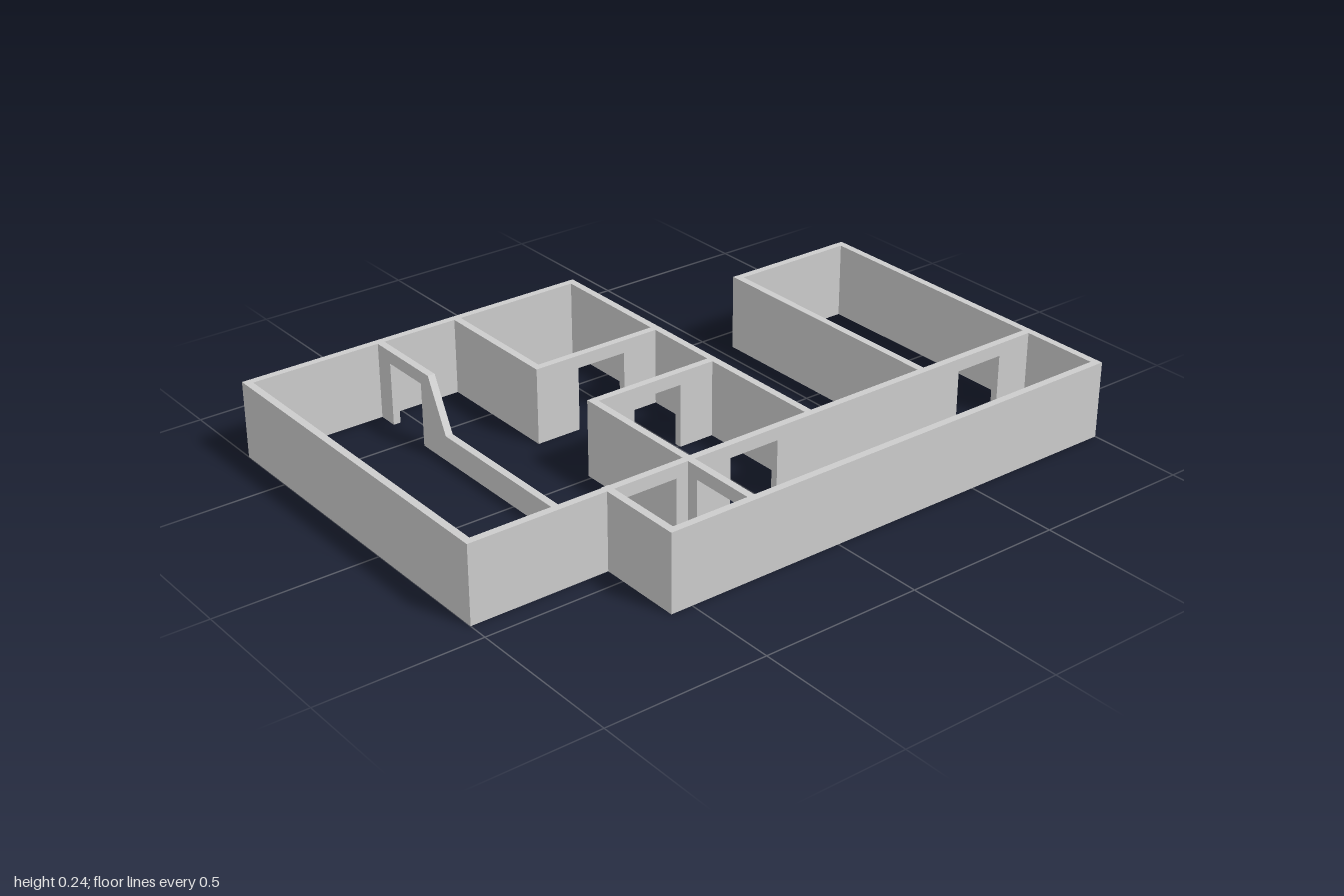
import * as THREE from 'three';

const H = 0.24;      // wall height
const T = 0.023;     // wall thickness
const h = T / 2;
const DOOR = 0.2;    // door height

// Centre lines of the walls
const X = { left: -0.695, backRoom: -0.403, a: -0.27, b: -0.003, mid: 0.424, right: 0.693 };
const Z = { back: -0.9885, backRoom: -0.563, rooms: -0.138, hall: 0.29, front: 0.556, porch: 0.9885 };

const material = new THREE.MeshStandardMaterial({ color: 0xcccccc });

// Wall elevation: doors are notches from the floor, top is an optional skyline
function elevation(from, to, doors, top) {
  const shape = new THREE.Shape();
  shape.moveTo(from, 0);
  for (const [a, b] of doors) {
    shape.lineTo(a, 0);
    shape.lineTo(a, DOOR);
    shape.lineTo(b, DOOR);
    shape.lineTo(b, 0);
  }
  shape.lineTo(to, 0);
  shape.lineTo(to, H);
  for (const [s, y] of top) shape.lineTo(s, y);
  shape.lineTo(from, H);
  shape.closePath();
  return shape;
}

export function createModel() {
  const group = new THREE.Group();
  group.name = 'floorPlan';

  const wall = (name, alongZ, at, from, to, doors = [], top = []) => {
    const geo = new THREE.ExtrudeGeometry(elevation(from, to, doors, top), { depth: T, bevelEnabled: false });
    geo.translate(0, 0, -h);
    if (alongZ) geo.rotateY(-Math.PI / 2).translate(at, 0, 0);
    else geo.translate(0, 0, at);
    const mesh = new THREE.Mesh(geo, material);
    mesh.name = name;
    group.add(mesh);
  };
  const wallX = (name, z, from, to, doors, top) => wall(name, false, z, from, to, doors, top);
  const wallZ = (name, x, from, to, doors, top) => wall(name, true, x, from, to, doors, top);

  // Long walls running front to back
  const roomDoor = [-0.01, 0.155];
  wallZ('corridorWall', X.mid, Z.back - h, Z.porch + h, [[-0.86, -0.695], roomDoor, [0.34, 0.505]]);
  wallZ('outerLeftWall', X.right, Z.back - h, Z.front + h);
  wallZ('outerRightWall', X.left, Z.rooms - h, Z.porch + h);

  // Back room and corridor end
  wallX('backWall', Z.back, X.backRoom - h, X.mid - h);
  wallX('corridorBackWall', Z.back, X.mid + h, X.right - h);
  wallZ('backRoomSideWall', X.backRoom, Z.back + h, Z.backRoom + h);
  wallX('backRoomFrontWall', Z.backRoom, X.backRoom + h, X.mid - h);

  // Middle rooms
  wallX('roomsBackWall', Z.rooms, X.left + h, X.mid - h);
  for (const [name, x] of [['rightRoomDoorWall', X.a], ['leftRoomDoorWall', X.b]]) {
    wallZ(name, x, Z.rooms + h, Z.hall + h, [roomDoor]);
  }
  wallX('rightRoomFrontWall', Z.hall, X.left + h, X.a - h);
  wallX('leftRoomFrontWall', Z.hall, X.b + h, X.mid - h);
  wallX('corridorDoorWall', Z.hall, X.mid + h, X.right - h, [[0.475, 0.64]]);
  wallX('corridorFrontWall', Z.front, X.mid + h, X.right - h);

  // Front partition with a doorway and a low section between two slopes
  wallX('lowPartition', Z.front, X.left + h, X.mid - h, [[-0.62, -0.455]],
    [[0.41, H], [0.33, 0.08], [-0.335, 0.08], [-0.415, H]]);
  wallX('frontWall', Z.porch, X.left + h, X.mid - h);

  return group;
}
